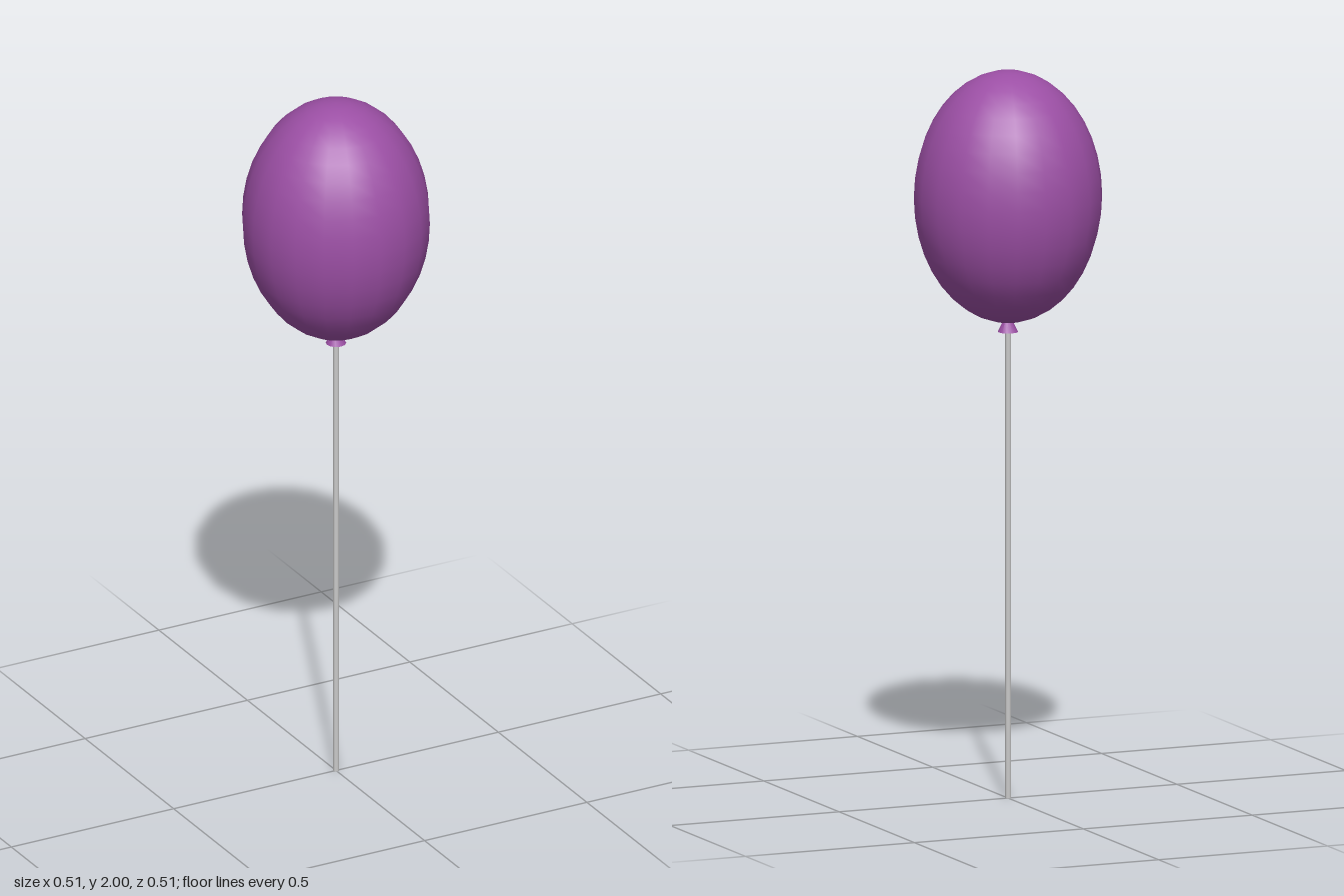
import * as THREE from 'three';

export function createModel() {
  const model = new THREE.Group();
  const purple = new THREE.MeshStandardMaterial({ color: 0x9c4fa5 });
  const grey = new THREE.MeshStandardMaterial({ color: 0xcccccc });

  const add = (name, geometry, material, y) => {
    const mesh = new THREE.Mesh(geometry, material);
    mesh.name = name;
    mesh.position.y = y;
    model.add(mesh);
    return mesh;
  };

  // Inflated body: a sphere stretched upwards
  const body = add('balloon', new THREE.SphereGeometry(0.256, 20, 20), purple, 1.655);
  body.scale.y = 1.35;

  // Flared knot under the body
  add('knot', new THREE.ConeGeometry(0.028, 0.055, 12), purple, 1.31);

  // Straight string down to the ground
  add('string', new THREE.CylinderGeometry(0.008, 0.008, 1.3, 8), grey, 0.65);

  return model;
}
